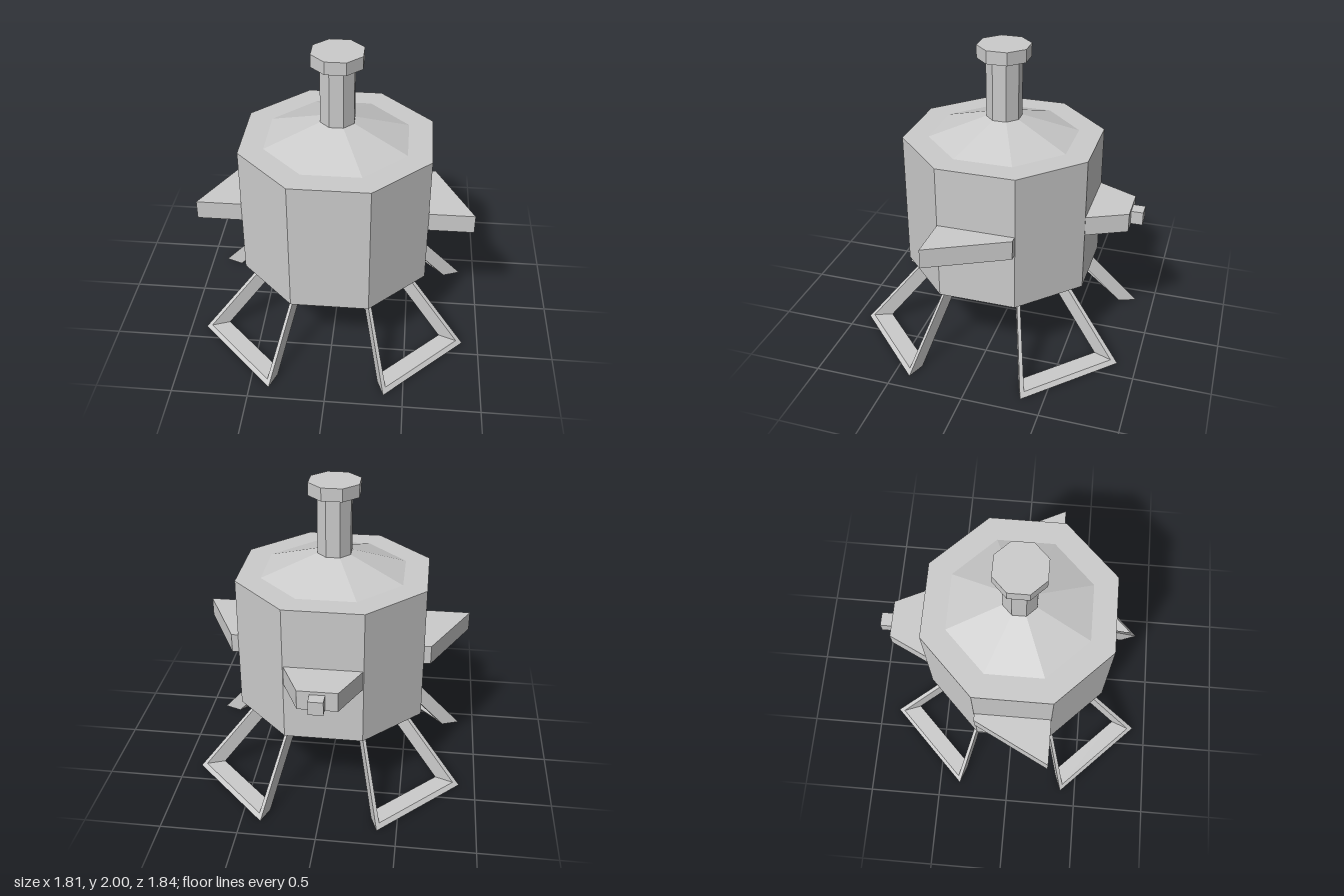
import * as THREE from 'three';

const material = new THREE.MeshStandardMaterial({ color: 0xcccccc, flatShading: true });
const CENTRE_Z = 0.02;

function add(parent, name, geometry) {
  const mesh = new THREE.Mesh(geometry, material);
  mesh.name = name;
  parent.add(mesh);
  return mesh;
}

// Octagonal prism or frustum with flats facing front; sizes are centre-to-flat distances
function octagon(top, bottom, y0, y1) {
  const k = 1 / Math.cos(Math.PI / 8);
  return new THREE.CylinderGeometry(top * k, bottom * k, y1 - y0, 8, 1, false, Math.PI / 8)
    .translate(0, (y0 + y1) / 2, 0);
}

// Horizontal plate from an [x, z] outline
function plate(outline, y0, y1) {
  const shape = new THREE.Shape(outline.map(([x, z]) => new THREE.Vector2(x, -z)));
  return new THREE.ExtrudeGeometry(shape, { depth: y1 - y0, bevelEnabled: false })
    .rotateX(-Math.PI / 2).translate(0, y0, 0);
}

// Slanted open trapezoid frame, leaning outwards along +z
function legFrame() {
  const ring = (low, high, dz, dx) => {
    const [xl, yl, zl] = low, [xh, yh, zh] = high;
    return [
      [-xl + dx, yl, zl - dz], [xl - dx, yl, zl - dz],
      [xh - dx, yh, zh - dz], [-xh + dx, yh, zh - dz],
    ];
  };
  const outer = [[0.368, 0, 0.898], [0.19, 0.48, 0.523]];
  const hole = [[0.328, 0.028, 0.876], [0.175, 0.456, 0.542]];
  const rings = [
    ring(...outer, 0, 0), ring(...hole, 0, 0),
    ring(...hole, 0.115, 0.052), ring(...outer, 0.115, 0.052),
  ];
  const positions = [];
  for (let i = 0; i < 4; i++) {
    const a = rings[i], b = rings[(i + 1) % 4];
    for (let j = 0; j < 4; j++) {
      const k = (j + 1) % 4;
      positions.push(...a[j], ...a[k], ...b[k], ...a[j], ...b[k], ...b[j]);
    }
  }
  const geometry = new THREE.BufferGeometry();
  geometry.setAttribute('position', new THREE.Float32BufferAttribute(positions, 3));
  geometry.computeVertexNormals();
  return geometry;
}

export function createModel() {
  const model = new THREE.Group();
  model.name = 'octagonalTankOnLegs';
  const core = new THREE.Group();
  core.name = 'core';
  core.position.z = CENTRE_Z;
  model.add(core);

  // Body, roof and stack
  add(core, 'body', octagon(0.61, 0.61, 0.48, 1.392));
  add(core, 'roof', octagon(0.1, 0.46, 1.39, 1.525));
  add(core, 'stack', octagon(0.108, 0.108, 1.5, 1.92));
  add(core, 'stackCap', octagon(0.161, 0.161, 1.915, 2));

  // Swept side fins
  for (const side of [1, -1]) {
    const outline = [[0.6, -0.25], [0.655, -0.25], [0.907, 0.252], [0.6, 0.252]];
    add(core, side > 0 ? 'leftFin' : 'rightFin',
      plate(outline.map(([x, z]) => [x * side, z]), 0.87, 0.998));
  }

  // Tapered rear fin with a small block on its end
  add(core, 'rearFin',
    plate([[-0.253, -0.6], [0.253, -0.6], [0.125, -0.867], [-0.125, -0.867]], 0.87, 0.998));
  add(core, 'rearBlock', new THREE.BoxGeometry(0.094, 0.09, 0.1)).position.set(0, 0.932, -0.895);

  // Four diagonal legs
  const leg = legFrame();
  for (let i = 0; i < 4; i++) {
    add(core, 'leg' + (i + 1), leg).rotation.y = Math.PI / 4 + i * Math.PI / 2;
  }
  return model;
}
